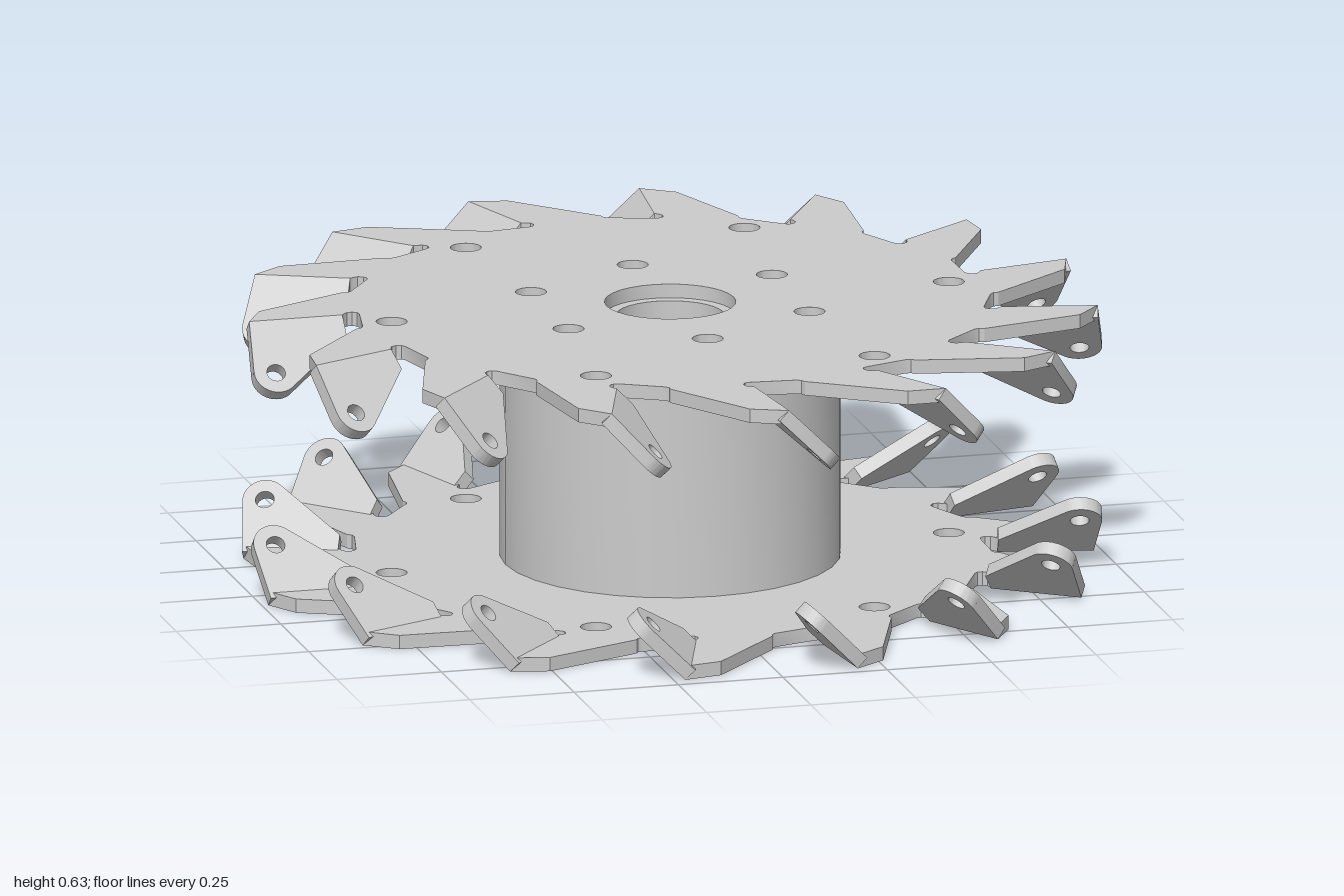
import * as THREE from 'three';
import { toCreasedNormals } from 'three/addons/utils/BufferGeometryUtils.js';

const TEETH = 15;
const HEIGHT = 0.635;
const THICK = 0.033;
const FOLD = -0.085; // tangential position of the fold line on each tooth
const material = new THREE.MeshStandardMaterial({ color: 0xcccccc });

function addHole(shape, x, y, radius) {
  const hole = new THREE.Path();
  hole.absarc(x, y, radius, 0, Math.PI * 2, true);
  shape.holes.push(hole);
}

// ring of six bolt holes
function addBoltHoles(shape, radius, startAngle) {
  for (let i = 0; i < 6; i++) {
    const a = startAngle + (i * Math.PI) / 3;
    addHole(shape, radius * Math.cos(a), radius * Math.sin(a), 0.036);
  }
}

function extrude(shape, depth, curveSegments) {
  return new THREE.ExtrudeGeometry(shape, { depth, bevelEnabled: false, curveSegments });
}

function mesh(geometry, name) {
  const m = new THREE.Mesh(toCreasedNormals(geometry, 0.5), material);
  m.name = name;
  return m;
}

const toothAngle = (k) => Math.PI + (k * Math.PI * 2) / TEETH;

// flat toothed disc with a relief slot beside each fold
function plateGeometry() {
  // one tooth as [radial, tangential] points
  const tooth = [
    [0.94, -0.165], [0.985, FOLD], [0.762, FOLD],
    [0.757, -0.092], [0.747, -0.101], [0.734, -0.102], [0.724, -0.094], [0.722, -0.083],
    [0.743, 0.026], [0.75, 0.036], [0.762, 0.04],
  ];
  const points = [];
  for (let k = 0; k < TEETH; k++) {
    const c = Math.cos(toothAngle(k));
    const s = Math.sin(toothAngle(k));
    for (const [r, t] of tooth) points.push(new THREE.Vector2(r * c - t * s, r * s + t * c));
  }
  const shape = new THREE.Shape(points);
  addHole(shape, 0, 0, 0.152);
  addBoltHoles(shape, 0.333, Math.PI / 6);
  addBoltHoles(shape, 0.667, 0);
  return extrude(shape, THICK, 16).rotateX(-Math.PI / 2);
}

// tab bent 45 degrees away from the disc, with a rounded, drilled tip
function tabGeometry(k) {
  const shape = new THREE.Shape();
  shape.moveTo(0.762, 0);
  shape.lineTo(0.985, 0);
  shape.lineTo(0.999, 0.135);
  shape.absarc(0.947, 0.14, 0.052, -0.1, 2.2, false);
  shape.lineTo(0.762, 0.055);
  shape.closePath();
  addHole(shape, 0.947, 0.14, 0.022);
  return extrude(shape, THICK, 10)
    .translate(0, 0, -THICK)
    .rotateX(-Math.PI / 4)
    .translate(0, FOLD, THICK)
    .rotateZ(toothAngle(k))
    .rotateX(-Math.PI / 2);
}

// disc and tabs, placed relative to mid-height
function createDisc(name) {
  const disc = new THREE.Group();
  disc.name = name;
  const body = new THREE.Group();
  body.position.y = HEIGHT / 2 - THICK;
  body.add(mesh(plateGeometry(), 'toothedPlate'));
  for (let k = 0; k < TEETH; k++) body.add(mesh(tabGeometry(k), 'bentTab'));
  disc.add(body);
  disc.position.y = HEIGHT / 2;
  return disc;
}

// central drum with bore and through bolt holes
function createHub() {
  const shape = new THREE.Shape();
  shape.absarc(0, 0, 0.395, 0, Math.PI * 2, false);
  addHole(shape, 0, 0, 0.126);
  addBoltHoles(shape, 0.333, Math.PI / 6);
  const hub = mesh(extrude(shape, HEIGHT - 2 * THICK, 16).rotateX(-Math.PI / 2), 'hub');
  hub.position.y = THICK;
  return hub;
}

export function createModel() {
  const model = new THREE.Group();
  model.name = 'toothedDrum';
  const upper = createDisc('upperDisc');
  // the lower disc is the same part turned over
  const lower = createDisc('lowerDisc');
  lower.rotation.x = Math.PI;
  model.add(createHub(), upper, lower);
  return model;
}
